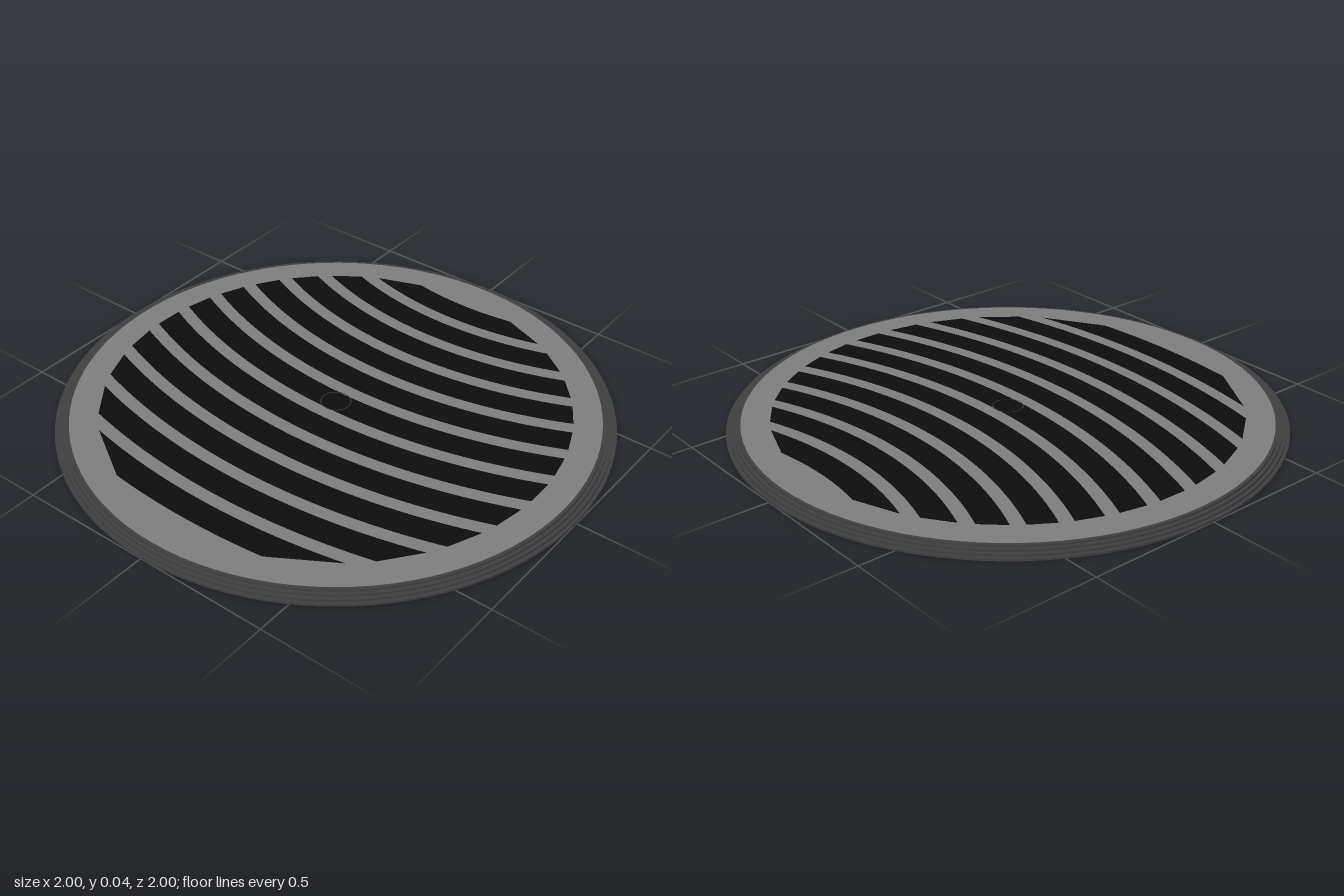
import * as THREE from 'three';
import { toCreasedNormals } from 'three/addons/utils/BufferGeometryUtils.js';

const SEGMENTS = 96;

const material = (name, color) => {
  const m = new THREE.MeshStandardMaterial({ color });
  m.name = name;
  return m;
};

function addPart(group, name, geometry, mat, y = 0) {
  const mesh = new THREE.Mesh(geometry, mat);
  mesh.name = name;
  mesh.position.y = y;
  group.add(mesh);
  return mesh;
}

// Curved band between two circles sharing a centre behind the plate, trimmed to a round field
function bandGeometry(zBack, zFront, centre, field) {
  const halfAngle = (r) => {
    const z = (r * r - field * field - centre * centre) / (2 * centre);
    return Math.acos((z + centre) / r);
  };
  const outer = centre + zFront, inner = centre + zBack;
  const a = halfAngle(outer), b = halfAngle(inner);
  const down = -Math.PI / 2;
  const shape = new THREE.Shape();
  shape.absarc(0, centre, outer, down - a, down + a, false);
  shape.absarc(0, centre, inner, down + b, down - b, true);
  return new THREE.ShapeGeometry(shape, 32).rotateX(-Math.PI / 2);
}

export function createModel() {
  const model = new THREE.Group();
  model.name = 'slottedRoundCover';
  const grey = material('mid grey', 0x808080);
  const dark = material('dark grey', 0x404040);
  const black = material('black', 0x0d0d0d);

  // Stepped hollow rim: outside going up, then inside going down
  const radii = [1, 0.987, 0.973, 0.96];
  const step = 0.008;
  const profile = [];
  radii.forEach((r, i) => {
    profile.push(new THREE.Vector2(r, i * step), new THREE.Vector2(r, (i + 1) * step));
  });
  profile.push(new THREE.Vector2(0.945, 4 * step), new THREE.Vector2(0.945, 3 * step));
  for (let i = 2; i >= 0; i--) {
    const r = radii[i + 1] - 0.003;
    profile.push(new THREE.Vector2(r, (i + 1) * step), new THREE.Vector2(r, i * step));
  }
  profile.push(profile[0].clone());
  const rim = toCreasedNormals(new THREE.LatheGeometry(profile, SEGMENTS), 0.5);
  addPart(model, 'steppedRim', rim, dark);

  // Round plate closing the rim
  addPart(model, 'plate', new THREE.CylinderGeometry(0.948, 0.948, 0.006, SEGMENTS), grey, 0.03);

  // Eleven curved slots
  const slots = new THREE.Group();
  slots.name = 'slots';
  for (let i = 0; i < 11; i++) {
    const z = -0.8 + i * 0.15;
    addPart(slots, `slot${i + 1}`, bandGeometry(z, z + 0.1, 2, 0.845), black, 0.0345);
  }
  model.add(slots);

  // Fine seam ring at the middle
  const seam = new THREE.RingGeometry(0.053, 0.056, 24).rotateX(-Math.PI / 2);
  addPart(model, 'centreSeam', seam, dark, 0.0355);

  return model;
}
